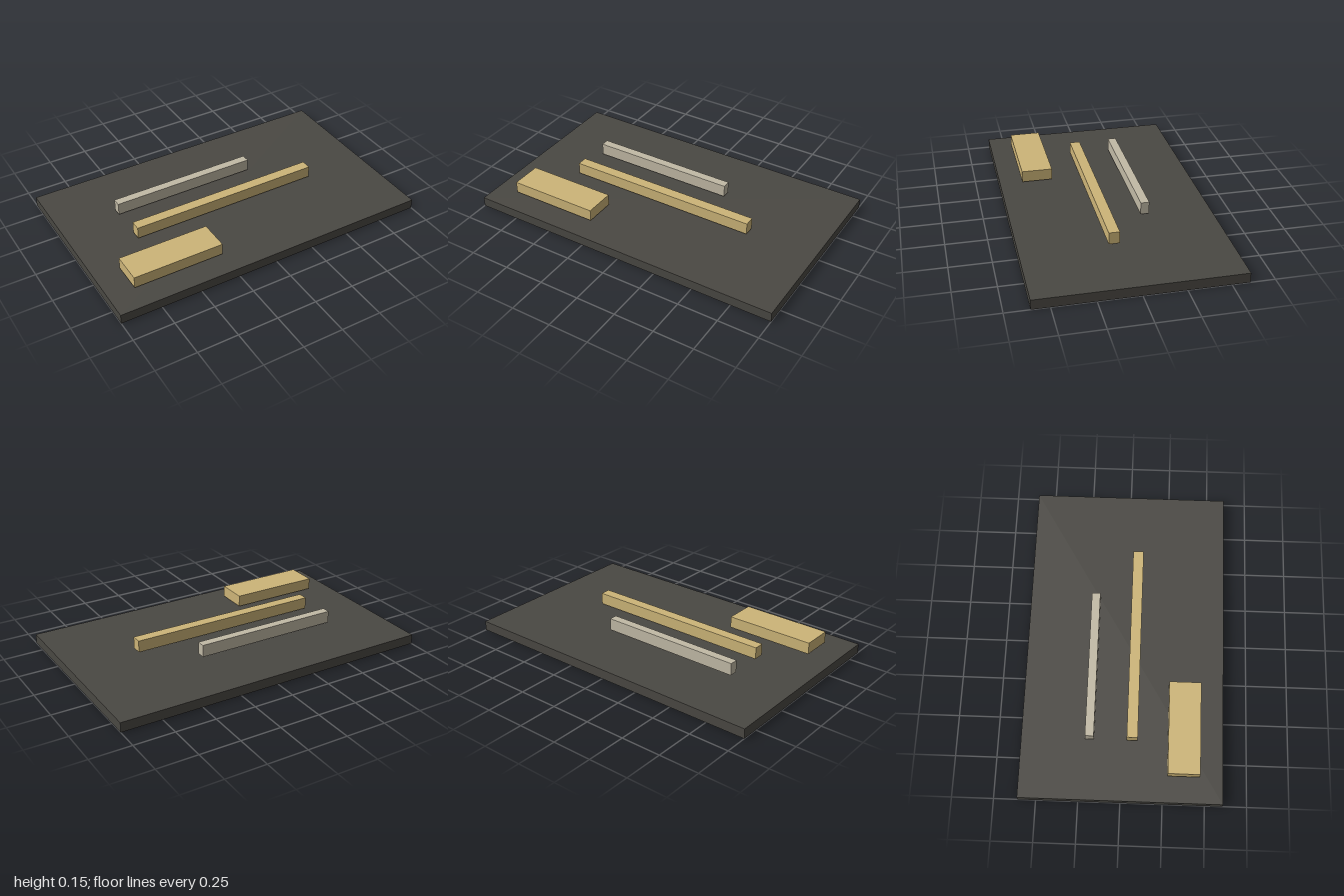
import * as THREE from 'three';

// Box given by its min/max extents along each axis
function block(name, color, [x0, x1], [y0, y1], [z0, z1]) {
  const mesh = new THREE.Mesh(
    new THREE.BoxGeometry(x1 - x0, y1 - y0, z1 - z0),
    new THREE.MeshStandardMaterial({ color })
  );
  mesh.position.set((x0 + x1) / 2, (y0 + y1) / 2, (z0 + z1) / 2);
  mesh.name = name;
  return mesh;
}

export function createModel() {
  const group = new THREE.Group();
  group.name = 'signPanel';
  const dark = 0x4a4843, gold = 0xcdb578, silver = 0xc2baa6;

  group.add(
    // Flat base slab
    block('baseSlab', dark, [-1, 1], [0, 0.06], [-0.606, 0.606]),
    // Raised bars hovering just above the slab
    block('backBar', silver, [-0.637, 0.277], [0.078, 0.154], [-0.22, -0.168]),
    block('middleBar', gold, [-0.637, 0.573], [0.078, 0.152], [0.028, 0.093]),
    block('frontBlock', gold, [-0.845, -0.283], [0.078, 0.15], [0.275, 0.466])
  );
  return group;
}
